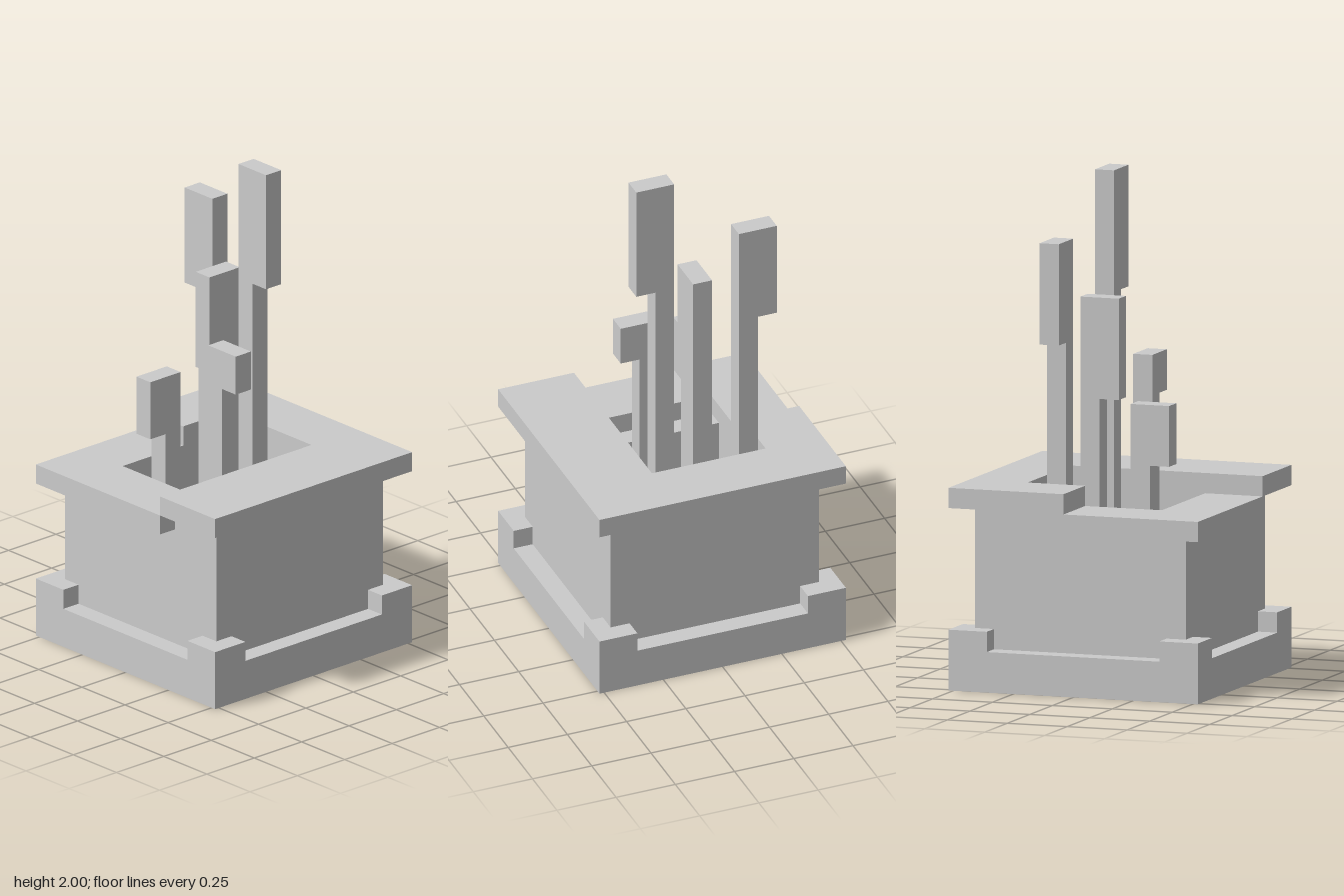
import * as THREE from 'three';

const U = 0.08; // block size of the model
const material = new THREE.MeshStandardMaterial({ color: 0xcccccc, flatShading: true });

const outline = (pts) => new THREE.Shape(pts.map(([a, b]) => new THREE.Vector2(a, b)));
const rect = (x0, z0, x1, z1) => [[x0, z0], [x1, z0], [x1, z1], [x0, z1]];

function part(name, geometry) {
  const mesh = new THREE.Mesh(geometry, material);
  mesh.name = name;
  return mesh;
}

function box(name, x0, x1, y0, y1, z0, z1) {
  const g = new THREE.BoxGeometry(x1 - x0, y1 - y0, z1 - z0);
  g.translate((x0 + x1) / 2, (y0 + y1) / 2, (z0 + z1) / 2);
  return part(name, g);
}

// Plan outline in (x, z), extruded from y0 up to y1
function slab(name, pts, y0, y1, hole) {
  const shape = outline(pts);
  if (hole) shape.holes.push(outline(hole));
  const g = new THREE.ExtrudeGeometry(shape, { depth: y1 - y0, bevelEnabled: false });
  g.rotateX(Math.PI / 2).translate(0, y1, 0);
  return part(name, g);
}

// Raised part of the rim, open at the back right corner; e is the outer half width
const raised = (e) => [[-e, 0.2], [0.28, 0.2], [0.28, -0.28], [0.04, -0.28],
  [0.04, -e], [e, -e], [e, e], [-e, e]];

// Flat stalk with a head that steps out to one side.
// s: stem start, h: outer edge of the head, both along the given axis
function stalk(name, axis, s, h, across, under, top, foot) {
  const out = h > s;
  const near = out ? s : s + U, far = out ? s + U : s;
  const g = new THREE.ExtrudeGeometry(
    outline([[near, foot], [far, foot], [far, under], [h, under], [h, top], [near, top]]),
    { depth: U, bevelEnabled: false });
  if (axis === 'x') g.translate(0, 0, across);
  else g.rotateY(-Math.PI / 2).translate(across + U, 0, 0);
  return part(name, g);
}

export function createModel() {
  const model = new THREE.Group();
  model.name = 'pottedPlant';
  const floor = 0.32;

  // Base with raised corners
  const base = new THREE.Group();
  base.name = 'base';
  base.add(box('baseSlab', -0.52, 0.52, 0, 0.16, -0.52, 0.52));
  for (const sx of [-1, 1]) for (const sz of [-1, 1]) {
    const x = sx * 0.44, z = sz * 0.44;
    base.add(box('baseCorner', x - U, x + U, 0.16, 0.24, z - U, z + U));
  }
  model.add(base);

  // Hollow body and soil
  const body = new THREE.Group();
  body.name = 'body';
  body.add(
    slab('bodyWall', rect(-0.44, -0.44, 0.44, 0.44), 0.16, 0.64, rect(-0.2, -0.28, 0.28, 0.2)),
    slab('bodyWallTop', raised(0.44), 0.64, 0.72),
    box('soil', -0.2, 0.28, 0.16, floor, -0.28, 0.2));
  model.add(body);

  // Rim with one corner dropped by a block
  const rim = new THREE.Group();
  rim.name = 'rim';
  rim.add(
    slab('raisedRim', raised(0.52), 0.72, 0.8),
    slab('droppedRim', [[-0.52, -0.52], [0.04, -0.52], [0.04, -0.28],
      [-0.28, -0.28], [-0.28, 0.2], [-0.52, 0.2]], 0.64, 0.72));
  model.add(rim);

  // Stalks
  const plant = new THREE.Group();
  plant.name = 'plant';
  plant.add(
    stalk('tallestStalk', 'z', 0.04, 0.2, 0.04, 1.52, 2, floor),
    stalk('backStalk', 'z', -0.28, -0.36, 0.12, 1.36, 1.76, floor),
    stalk('middleStalk', 'x', 0.04, -0.04, -0.12, 1.12, 1.52, floor),
    stalk('frontStalk', 'z', 0.04, 0.2, -0.12, 1.12, 1.28, floor),
    stalk('shortStalk', 'x', -0.2, -0.28, -0.2, 0.88, 1.12, floor));
  model.add(plant);
  return model;
}
